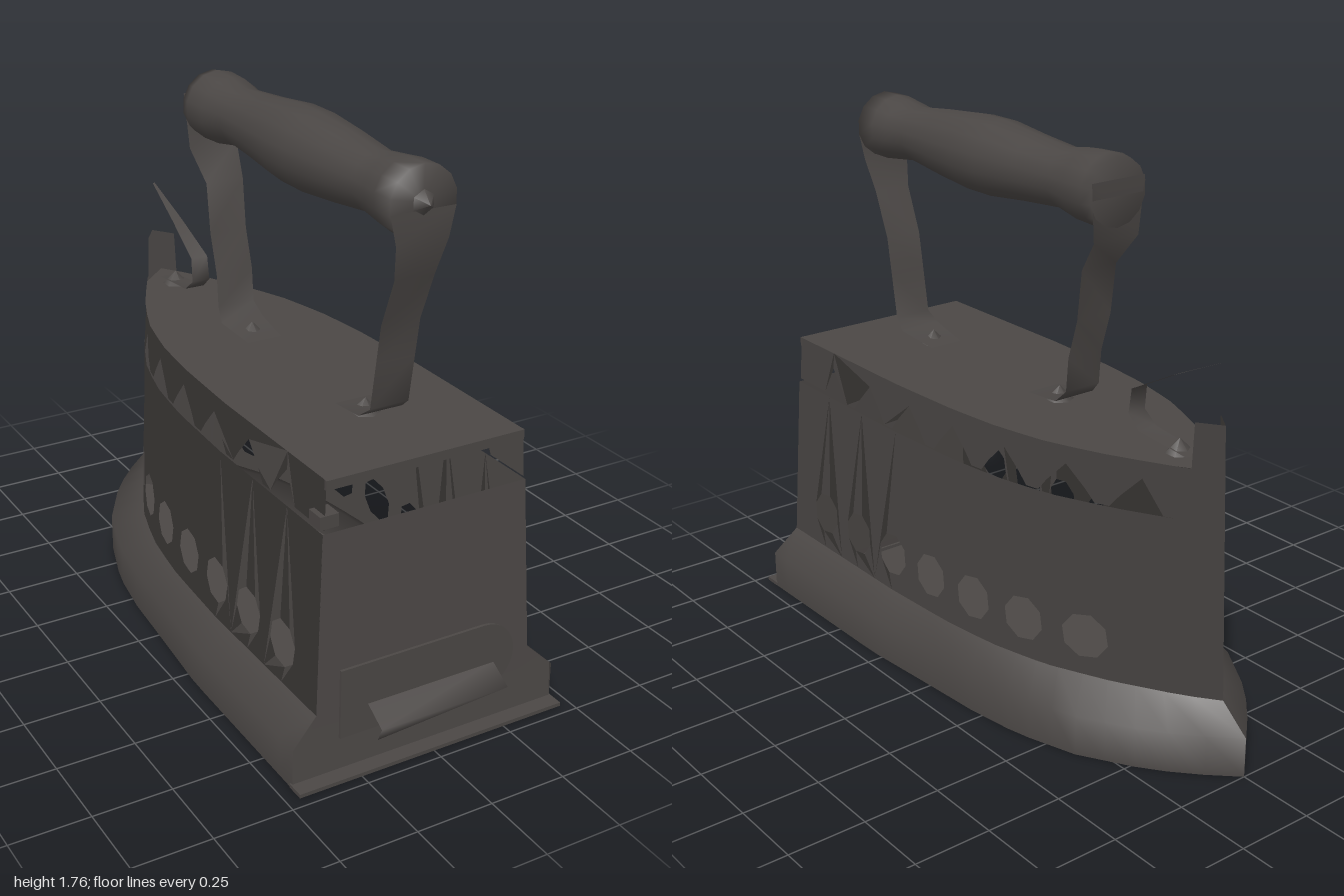
import * as THREE from 'three';
import { mergeGeometries, mergeVertices } from 'three/addons/utils/BufferGeometryUtils.js';

const lerp = THREE.MathUtils.lerp;

// Half-width tables: [z, half-width] running from the flat heel to the pointed toe
const SOLE = [[0.92, 0.455], [0.3, 0.45], [0, 0.425], [-0.2, 0.41], [-0.4, 0.38], [-0.6, 0.315], [-0.8, 0.195], [-0.92, 0.085], [-1, 0]];
const WALL = [[0.905, 0.37], [0.3, 0.37], [0, 0.355], [-0.2, 0.33], [-0.4, 0.28], [-0.6, 0.19], [-0.8, 0.075], [-0.9, 0]];

function width(table, z) {
  for (let i = 1; i < table.length; i++) {
    const [a, wa] = table[i - 1], [b, wb] = table[i];
    if (z >= b - 1e-6) return lerp(wa, wb, Math.min(1, Math.max(0, (a - z) / (a - b))));
  }
  return 0;
}

// Wraps a flat (u, y) sheet onto the tapering side wall
function wrap(geo, inset = 1) {
  const p = geo.attributes.position;
  for (let i = 0; i < p.count; i++) {
    const u = p.getX(i), y = p.getY(i), k = (y - 0.21) / 0.72;
    p.setXYZ(i, width(WALL, u) * (1 - 0.1 * k) * inset, y, u * (1 - 0.035 * k));
  }
  return geo;
}

function sheet(points, hole) {
  const shape = new THREE.Shape(points.map(([a, b]) => new THREE.Vector2(a, b)));
  if (hole) shape.holes.push(new THREE.Path(hole));
  return new THREE.ShapeGeometry(shape);
}

function weld(list) {
  const g = mergeGeometries(list);
  g.deleteAttribute('uv');
  g.deleteAttribute('normal');
  const m = mergeVertices(g, 1e-4);
  m.computeVertexNormals();
  return m;
}

// Grid surface from equal-length rows of [x, y, z]
function loft(rows) {
  const n = rows[0].length, index = [];
  for (let r = 0; r < rows.length - 1; r++)
    for (let i = 0; i < n - 1; i++) {
      const a = r * n + i, b = a + n;
      index.push(a, a + 1, b, a + 1, b + 1, b);
    }
  const g = new THREE.BufferGeometry();
  g.setAttribute('position', new THREE.Float32BufferAttribute(rows.flat(2), 3));
  g.setIndex(index);
  g.computeVertexNormals();
  return g;
}

// Thin strip bent along [z, y, half-width] points
const ribbon = (path) => loft(path.map(([z, y, w]) => [[-w, y, z], [w, y, z]]));

export function createModel() {
  const group = new THREE.Group();
  const iron = new THREE.MeshStandardMaterial({ color: 0x4b4745, side: THREE.DoubleSide });
  iron.name = 'dark iron';
  const add = (name, geo, x = 0, y = 0, z = 0) => {
    const m = new THREE.Mesh(geo, iron);
    m.name = name;
    m.position.set(x, y, z);
    group.add(m);
    return m;
  };
  const addPair = (name, geo) => {
    add(name + 'Left', geo);
    add(name + 'Right', geo).scale.x = -1;
  };

  // Sole: vertical rim, then a shoulder sloping in to the wall
  const steps = 24, soleRow = [], wallRow = [];
  for (let i = 0; i <= steps; i++) {
    const z = lerp(0.92, -1, i / steps), u = lerp(0.905, -0.9, i / steps);
    soleRow.push([width(SOLE, z), z]);
    wallRow.push([width(WALL, u), u]);
  }
  const at = (row, y) => row.map(([x, z]) => [x, y, z]);
  addPair('soleRim', loft([at(soleRow, 0), at(soleRow, 0.13), at(wallRow, 0.21)]));
  const outline = (row) => [...row, ...row.slice(0, -1).reverse().map(([x, z]) => [-x, z])];
  add('solePlate', sheet(outline(soleRow)).rotateX(Math.PI / 2), 0, 0.002, 0);
  add('heelLip', new THREE.BoxGeometry(0.92, 0.012, 0.06), 0, 0.01, 0.94);

  // Side walls: one panel per round vent, plain strips at heel and toe
  const panels = [], pitch = 0.2055, start = 0.808;
  const plain = (a, b, y0, y1) => sheet([[a, y0], [b, y0], [b, y1], [a, y1]]);
  panels.push(plain(0.905, start, 0.21, 0.77));
  for (let i = 0; i < 7; i++) {
    const a = start - i * pitch, b = a - pitch, c = (a + b) / 2, hole = [];
    for (let k = 0; k < 8; k++) {
      const t = (k + 0.3) * Math.PI / 4;
      hole.push(new THREE.Vector2(c + 0.073 * Math.cos(t), 0.338 + 0.073 * Math.sin(t)));
    }
    panels.push(sheet([[a, 0.21], [c, 0.21], [b, 0.21], [b, 0.77], [c, 0.77], [a, 0.77]], hole));
  }
  const toe = start - 7 * pitch;
  for (let i = 0; i < 4; i++)
    panels.push(plain(lerp(toe, -0.9, i / 4), lerp(toe, -0.9, (i + 1) / 4), 0.21, 0.77));
  addPair('sideWall', wrap(weld(panels)));
  addPair('toePost', wrap(sheet([[-0.81, 0.77], [-0.9, 0.77], [-0.9, 1.07], [-0.825, 1.07]])));

  // Heel wall, leaning slightly forward
  const heel = sheet([[-0.455, 0], [0.455, 0], [0.455, 0.13], [0.37, 0.21], [0.342, 0.77], [-0.342, 0.77], [-0.37, 0.21], [-0.455, 0.13]]);
  const hp = heel.attributes.position;
  for (let i = 0; i < hp.count; i++) {
    const y = hp.getY(i);
    hp.setZ(i, y < 0.21 ? lerp(0.92, 0.905, y / 0.21) : lerp(0.905, 0.88, (y - 0.21) / 0.56));
  }
  heel.computeVertexNormals();
  add('heelWall', heel);

  // Draught door with a rounded end and a pull strip
  const door = new THREE.Shape();
  door.moveTo(-0.3, 0.12).lineTo(0.2, 0.12);
  door.absarc(0.19, 0.2325, 0.1125, -Math.PI / 2, Math.PI / 2, false);
  door.lineTo(-0.3, 0.345);
  add('draughtDoor', new THREE.ExtrudeGeometry(door, { depth: 0.009, bevelEnabled: false, curveSegments: 8 }), 0, 0, 0.914);
  add('doorPull', loft([
    [[-0.21, 0.21, 0.925], [0.23, 0.21, 0.925]],
    [[-0.21, 0.165, 1], [0.23, 0.165, 1]],
    [[-0.21, 0.12, 0.98], [0.23, 0.12, 0.925]],
  ]));

  // Lid: flat top plus a scalloped skirt
  const lidRow = [];
  for (let i = 0; i <= 18; i++) {
    const u = lerp(0.905, -0.87, i / 18);
    lidRow.push([width(WALL, u) * 0.89, u * 0.965]);
  }
  add('lidTop', sheet(outline(lidRow)).rotateX(Math.PI / 2), 0, 0.93, 0);
  const skirt = [plain(0.905, 0.8, 0.78, 0.93), sheet([[0.8, 0.93], [0.8, 0.78], [0.74, 0.78], [0.69, 0.875], [0.69, 0.93]])];
  for (let i = 0; i < 6; i++) {
    const a = 0.69 - i * 0.229;
    const tooth = [[0, 0.875], [0.27, 0.81], [0.4, 0.772], [0.6, 0.772], [0.73, 0.81], [1, 0.875], [1, 0.93], [0.5, 0.93], [0, 0.93]];
    skirt.push(sheet(tooth.map(([t, y]) => [a - t * 0.229, y])));
  }
  const end = 0.69 - 6 * 0.229;
  skirt.push(sheet([[end, 0.93], [end, 0.875], [end - 0.06, 0.77], [-0.8, 0.77], [-0.8, 0.93]]), plain(-0.8, -0.87, 0.77, 0.93));
  addPair('lidSkirt', wrap(weld(skirt), 0.985));
  add('lidFrontLip', new THREE.BoxGeometry(0.66, 0.03, 0.012), 0, 0.915, 0.872);
  add('lidHinge', new THREE.BoxGeometry(0.06, 0.04, 0.06), -0.32, 0.805, 0.85);

  // Turned handle grip
  const profile = [[0, -0.6], [0.105, -0.6], [0.112, -0.56], [0.108, -0.47], [0.092, -0.38], [0.105, -0.22], [0.122, -0.06],
    [0.122, 0.06], [0.108, 0.22], [0.09, 0.38], [0.1, 0.46], [0.108, 0.52], [0.108, 0.6], [0, 0.6]];
  const grip = new THREE.LatheGeometry(profile.map(([r, y]) => new THREE.Vector2(r, y)), 14).rotateX(Math.PI / 2);
  add('handleGrip', grip, 0, 1.64, 0.21);
  add('handleKnob', new THREE.ConeGeometry(0.04, 0.035, 6).rotateX(Math.PI / 2), 0, 1.64, 0.825);

  // Bent handle straps with round ends against the grip
  add('frontStrap', ribbon([[0.812, 1.62, 0.105], [0.812, 1.53, 0.085], [0.78, 1.42, 0.066], [0.72, 1.27, 0.065], [0.7, 1.15, 0.065],
    [0.675, 1.0, 0.065], [0.63, 0.965, 0.075], [0.48, 0.942, 0.06]]));
  add('rearStrap', ribbon([[-0.392, 1.68, 0.1], [-0.385, 1.5, 0.085], [-0.31, 1.4, 0.066], [-0.29, 1.24, 0.065], [-0.25, 1.11, 0.065],
    [-0.24, 1.0, 0.065], [-0.2, 0.96, 0.075], [-0.05, 0.942, 0.06]]));
  for (const z of [0.55, -0.13, -0.68])
    add('rivet', new THREE.ConeGeometry(0.045, 0.045, 6), 0, 0.953, z);

  // Springy lid catch near the toe
  add('lidCatch', ribbon([[-0.84, 1.25, 0.004], [-0.66, 1.165, 0.018], [-0.5, 1.08, 0.03], [-0.49, 1.0, 0.032], [-0.54, 0.96, 0.035], [-0.74, 0.94, 0.03]]));

  return group;
}
